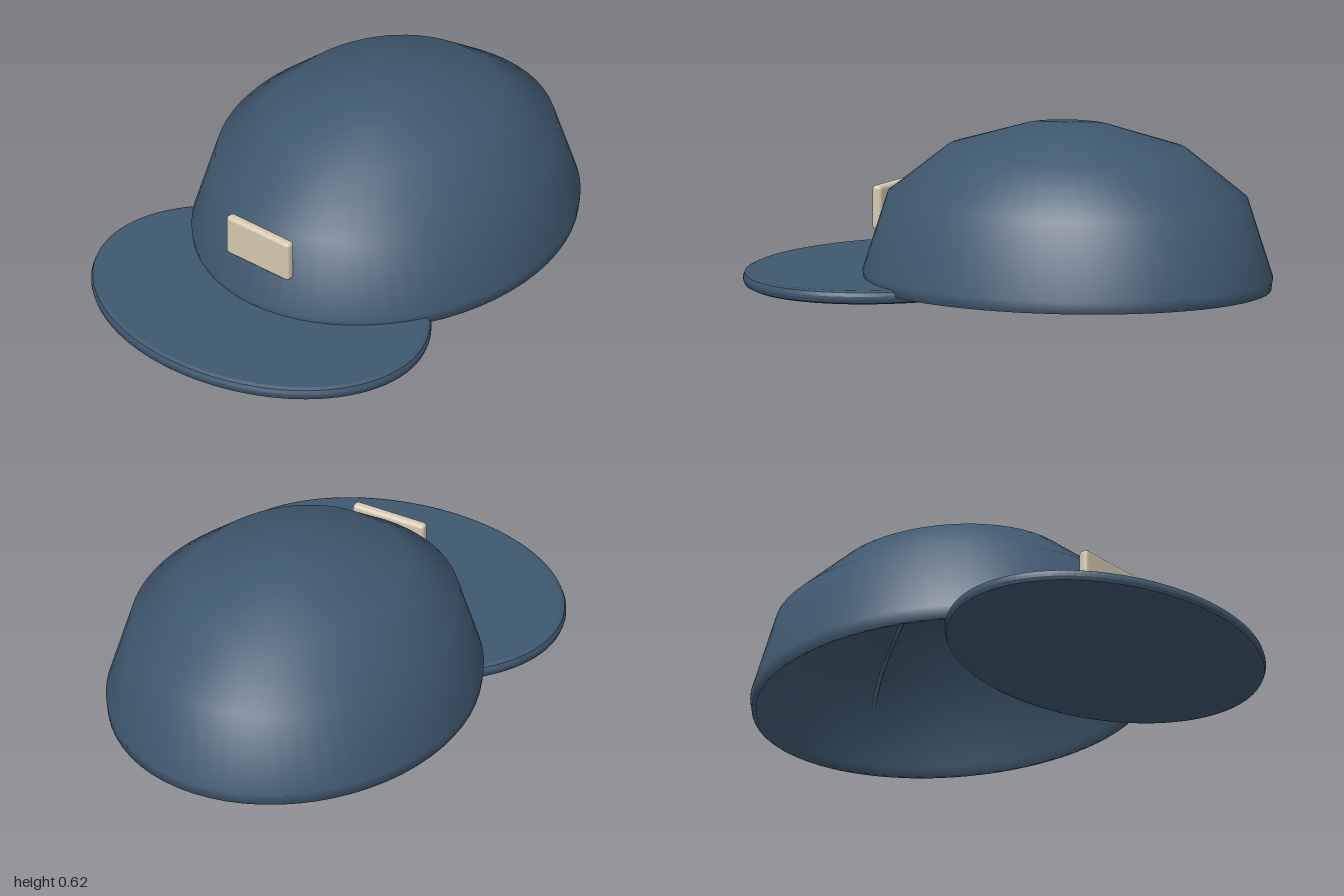
import * as THREE from 'three';
import { RoundedBoxGeometry } from 'three/addons/geometries/RoundedBoxGeometry.js';

export function createModel() {
  const cap = new THREE.Group();
  cap.name = 'cap';
  const navy = new THREE.MeshStandardMaterial({ color: 0x3f586e });
  navy.name = 'navy cloth';
  const beige = new THREE.MeshStandardMaterial({ color: 0xd6cab0 });
  beige.name = 'beige patch';

  const add = (parent, name, geometry, material) => {
    const mesh = new THREE.Mesh(geometry, material);
    mesh.name = name;
    parent.add(mesh);
    return mesh;
  };

  // Oval head part: a round lathe stretched front to back
  const head = new THREE.Group();
  head.name = 'head';
  head.position.z = -0.23;
  head.scale.z = 1.167;
  cap.add(head);

  // Crown wall: down the lining, round the rim, up the outside
  const profile = [
    [0, 0.595], [0.13, 0.585], [0.36, 0.5], [0.545, 0.34], [0.635, 0.06], [0.64, 0.025],
    [0.655, 0.025], [0.66, 0.07], [0.58, 0.355], [0.39, 0.527], [0.145, 0.612], [0, 0.625],
  ].map(([r, y]) => new THREE.Vector2(r, y));
  add(head, 'crown', new THREE.LatheGeometry(profile, 64), navy);

  // Six panel seams, showing on the lining
  for (let i = 0; i < 6; i++) {
    const a = (i * Math.PI) / 3;
    const path = new THREE.CatmullRomCurve3(
      [[0.655, 0.06], [0.52, 0.355], [0.31, 0.518], [0, 0.61]].map(
        ([r, y]) => new THREE.Vector3(r * Math.cos(a), y, r * Math.sin(a))
      )
    );
    add(head, 'seam', new THREE.TubeGeometry(path, 24, 0.007, 6), navy);
  }

  // Flat oval visor with a bevelled edge
  const oval = new THREE.Shape();
  oval.absellipse(0, 0, 0.66, 0.5, 0, Math.PI * 2);
  const visorGeometry = new THREE.ExtrudeGeometry(oval, {
    depth: 0.01, bevelThickness: 0.02, bevelSize: 0.018, bevelSegments: 2, curveSegments: 64,
  });
  visorGeometry.rotateX(-Math.PI / 2);
  add(cap, 'visor', visorGeometry, navy).position.set(0, 0.02, 0.478);

  // Front patch
  const patch = add(cap, 'patch', new RoundedBoxGeometry(0.294, 0.162, 0.038, 3, 0.014), beige);
  patch.position.set(0, 0.276, 0.486);

  return cap;
}
